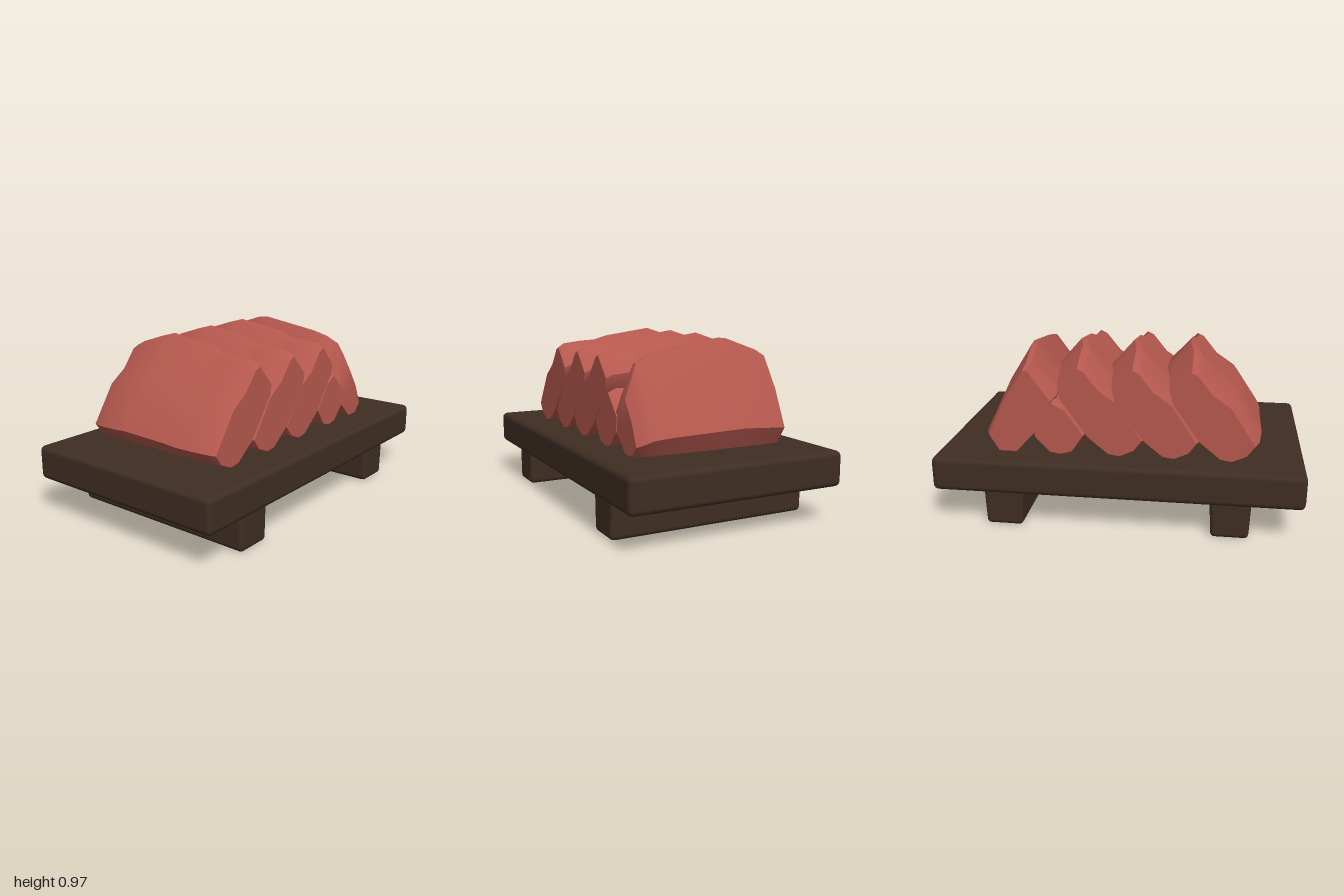
import * as THREE from 'three';
import { toCreasedNormals } from 'three/addons/utils/BufferGeometryUtils.js';
import { RoundedBoxGeometry } from 'three/addons/geometries/RoundedBoxGeometry.js';

const FLOOR = 0.388; // slices rest just inside the board top

// Lofts a cross-section (counter-clockwise seen from the front) along z.
// Each station is [z, height factor, width factor, x shift of the upper part].
function loft(profile, stations) {
  const n = profile.length;
  const cx = profile.reduce((s, p) => s + p[0], 0) / n;
  const cy = profile.reduce((s, p) => s + p[1], 0) / n;
  const pos = [], index = [];
  const place = ([x, y], [z, h, w, shift]) => {
    const lift = (y - FLOOR) / 0.57;
    pos.push(cx + (x - cx) * w + shift * lift, FLOOR + (y - FLOOR) * h, z);
  };
  stations.forEach((s) => profile.forEach((p) => place(p, s)));
  for (let k = 0; k < stations.length - 1; k++) {
    for (let i = 0; i < n; i++) {
      const j = (i + 1) % n, a = k * n, b = a + n;
      index.push(a + i, b + i, a + j, a + j, b + i, b + j);
    }
  }
  // End caps
  const last = (stations.length - 1) * n, front = stations.length * n;
  place([cx, cy], stations[0]);
  place([cx, cy], stations[stations.length - 1]);
  for (let i = 0; i < n; i++) {
    const j = (i + 1) % n;
    index.push(front, i, j, front + 1, last + j, last + i);
  }
  const geo = new THREE.BufferGeometry();
  geo.setAttribute('position', new THREE.Float32BufferAttribute(pos, 3));
  geo.setIndex(index);
  return toCreasedNormals(geo, 0.5);
}

export function createModel() {
  const model = new THREE.Group();
  model.name = 'slicedFishBoard';

  const wood = new THREE.MeshStandardMaterial({ color: 0x3e2d22 });
  wood.name = 'dark wood';
  const flesh = new THREE.MeshStandardMaterial({ color: 0xb5584e });
  flesh.name = 'red flesh';

  const add = (name, geo, mat, x = 0, y = 0, z = 0) => {
    const mesh = new THREE.Mesh(geo, mat);
    mesh.name = name;
    mesh.position.set(x, y, z);
    model.add(mesh);
    return mesh;
  };

  // Board and its two cross feet, which narrow a little towards the ground
  add('board', new RoundedBoxGeometry(2, 0.19, 1.22, 2, 0.03), wood, 0, 0.295, 0);
  const footGeo = new RoundedBoxGeometry(0.22, 0.24, 1.15, 2, 0.025);
  const p = footGeo.attributes.position;
  for (let i = 0; i < p.count; i++) {
    if (p.getY(i) < 0) p.setX(i, p.getX(i) * 0.93);
  }
  for (const side of [-1, 1]) {
    add(side > 0 ? 'leftFoot' : 'rightFoot', footGeo, wood, side * 0.615, 0.12, 0);
  }

  // Three matching slices leaning to the left
  const leaning = loft(
    [[-0.77, 0.5], [-0.72, 0.43], [-0.63, 0.388], [-0.56, 0.4], [-0.43, 0.51],
      [-0.26, 0.76], [-0.245, 0.83], [-0.37, 0.97], [-0.41, 0.95], [-0.5, 0.83], [-0.615, 0.745]],
    [[0.425, 0.82, 0.86, 0.01], [0.39, 0.86, 0.93, 0], [0.28, 0.88, 0.97, -0.02],
      [0.19, 0.89, 1, -0.01], [0.12, 0.93, 1, 0.005], [-0.17, 1, 1, 0.005],
      [-0.25, 0.96, 0.99, -0.015], [-0.39, 0.88, 0.94, -0.01], [-0.445, 0.83, 0.86, 0]]
  );
  [0, 0.31, 0.605].forEach((x, i) => add(`leaningSlice${i + 1}`, leaning, flesh, x));

  // End slice leaning the other way
  add('endSlice', loft(
    [[0.57, 0.388], [0.68, 0.39], [0.745, 0.5], [0.64, 0.74], [0.51, 0.95],
      [0.48, 0.955], [0.34, 0.75], [0.36, 0.66], [0.42, 0.56]],
    [[0.42, 0.5, 0.68, 0.04], [0.38, 0.66, 0.82, 0.03], [0.345, 0.8, 0.9, 0.01],
      [0.27, 0.87, 0.94, 0], [0.18, 0.91, 0.96, 0], [-0.17, 1, 0.98, 0],
      [-0.22, 0.99, 1, 0], [-0.4, 0.88, 0.97, -0.01], [-0.45, 0.82, 0.86, 0]]
  ), flesh);

  // Short slice tucked under the end slice
  add('tuckedSlice', loft(
    [[0.17, 0.51], [0.24, 0.41], [0.31, 0.388], [0.38, 0.4], [0.47, 0.49],
      [0.48, 0.58], [0.36, 0.7], [0.28, 0.66]],
    [[0.425, 0.93, 0.88, 0], [0.38, 1, 1, 0], [0, 0.97, 0.97, 0],
      [-0.4, 1, 1, 0], [-0.455, 0.92, 0.88, 0]]
  ), flesh);

  return model;
}
